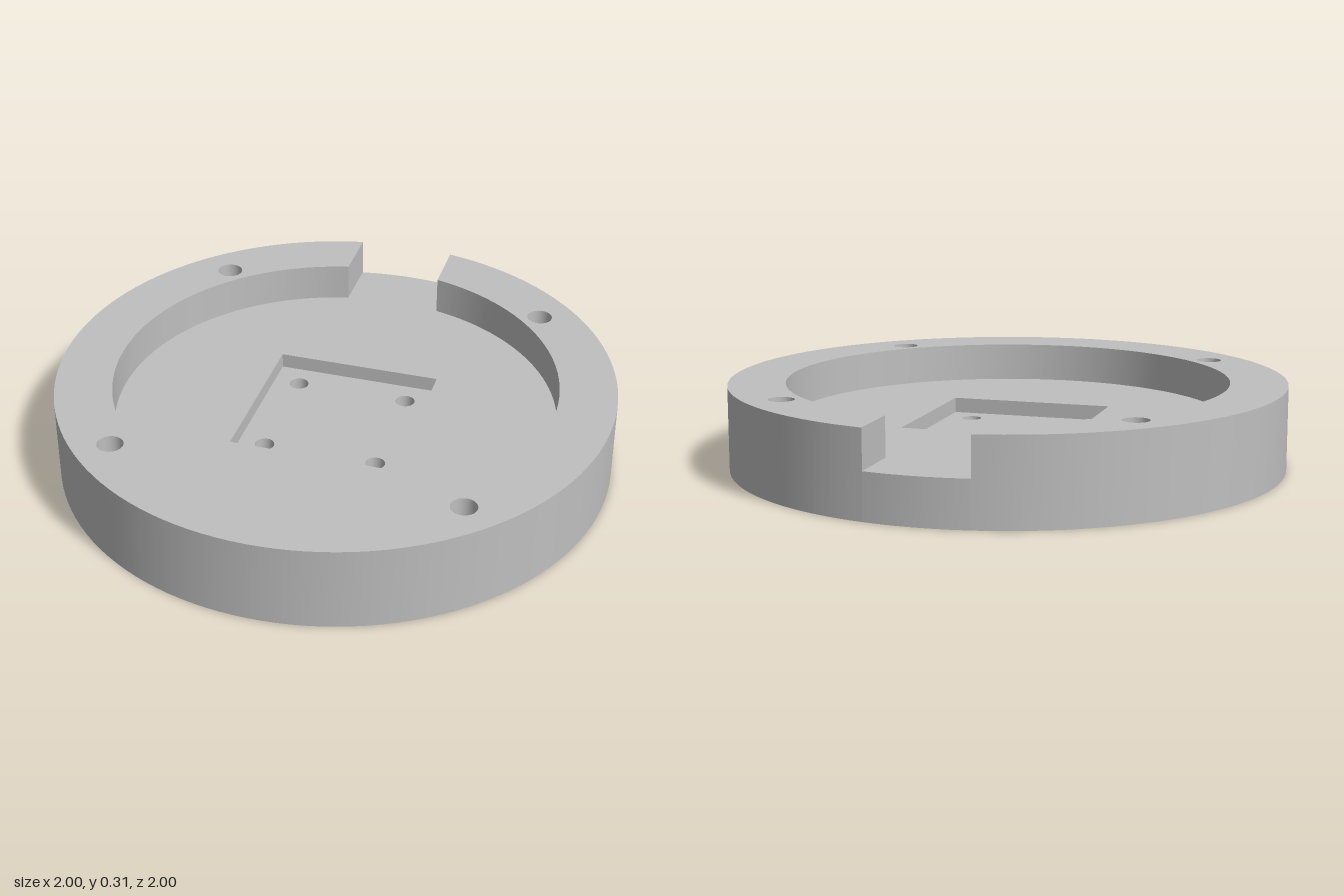
import * as THREE from 'three';

// Heights of the levels
const TOP = 0.305, FLOOR = 0.165, POCKET = 0.11, BORE = 0.08;
// Plan sizes
const INNER = 0.795, NOTCH = 0.18, HALF = 0.3;
const SCREW = { at: 0.615, r: 0.046, boreR: 0.082 };
const PIN = { at: 0.205, r: 0.035, bottom: 0.06 };
const CENTRE = { r: 0.103, top: 0.09 };

// Plan points (x right, y to the back), anticlockwise
function arc(r, from, to, n, cx = 0, cy = 0) {
  return Array.from({ length: n + 1 }, (_, i) => {
    const a = from + ((to - from) * i) / n;
    return new THREE.Vector2(cx + r * Math.cos(a), cy + r * Math.sin(a));
  });
}
const circle = (r, cx = 0, cy = 0, n = 40) => arc(r, 0, Math.PI * 2, n, cx, cy);
const reversed = (pts) => [...pts].reverse();
const corners = (d) => [[d, d], [-d, d], [-d, -d], [d, -d]];

// Upright wall along plan points, facing right of the travel direction
function wallGeometry(pts, y0, y1, sharp = false) {
  const pos = [], index = [];
  pts.forEach((p, i) => {
    pos.push(p.x, y0, -p.y, p.x, y1, -p.y);
    if (i) {
      const a = 2 * i - 2, b = 2 * i;
      index.push(a, b, b + 1, a, b + 1, a + 1);
    }
  });
  let g = new THREE.BufferGeometry();
  g.setAttribute('position', new THREE.Float32BufferAttribute(pos, 3));
  g.setIndex(index);
  if (sharp) g = g.toNonIndexed();
  g.computeVertexNormals();
  return g;
}

// Level face with holes, facing up or down
function faceGeometry(outline, holes, y, down = false) {
  const shape = new THREE.Shape(outline);
  shape.holes = holes.map((h) => new THREE.Path(h));
  const g = new THREE.ShapeGeometry(shape);
  g.rotateX(-Math.PI / 2).translate(0, y, 0);
  if (down) {
    g.setIndex(Array.from(g.index.array).reverse());
    g.computeVertexNormals();
  }
  return g;
}

export function createModel() {
  const grey = new THREE.MeshStandardMaterial({ color: 0xbfbfbf });
  grey.name = 'grey';
  const model = new THREE.Group();
  model.name = 'mountingBase';
  const add = (name, geometry) => {
    const mesh = new THREE.Mesh(geometry, grey);
    mesh.name = name;
    model.add(mesh);
  };

  // Outlines, open at the back for the notch
  const q = Math.PI / 2, a = Math.asin(NOTCH), b = Math.asin(NOTCH / INNER);
  const outer = arc(1, q + a, 5 * q - a, 120);
  const inner = arc(INNER, q + b, 5 * q - b, 120);
  const gap = arc(1, q - a, q + a, 8);
  const square = [...corners(HALF), [HALF, HALF]].map(([x, y]) => new THREE.Vector2(x, y));
  const screws = corners(SCREW.at).map(([x, y]) => circle(SCREW.r, x, y));
  const bores = corners(SCREW.at).map(([x, y]) => circle(SCREW.boreR, x, y));
  const pins = corners(PIN.at).map(([x, y]) => circle(PIN.r, x, y, 28));
  const centre = circle(CENTRE.r);

  // Raised rim and outside
  add('rimTop', faceGeometry([...outer, ...reversed(inner)], screws, TOP));
  add('outerWall', wallGeometry(outer, 0, TOP));
  add('outerWallBelowNotch', wallGeometry(gap, 0, FLOOR));
  add('rimInnerWall', wallGeometry(reversed(inner), FLOOR, TOP));
  add('notchLeftWall', wallGeometry([inner.at(-1), outer.at(-1)].reverse(), FLOOR, TOP));
  add('notchRightWall', wallGeometry([inner[0], outer[0]], FLOOR, TOP));

  // Recessed floor and square pocket
  add('recessFloor', faceGeometry([...inner, ...gap], [square.slice(0, 4)], FLOOR));
  add('pocketWalls', wallGeometry(reversed(square), POCKET, FLOOR, true));
  add('pocketFloor', faceGeometry(square.slice(0, 4), pins, POCKET));

  // Blind holes in the pocket
  pins.forEach((pin) => {
    add('pinHoleWall', wallGeometry(reversed(pin), PIN.bottom, POCKET));
    add('pinHoleFloor', faceGeometry(pin, [], PIN.bottom));
  });

  // Underside with its centre hole
  add('underside', faceGeometry([...outer, ...gap], [...bores, centre], 0, true));
  add('centreHoleWall', wallGeometry(reversed(centre), 0, CENTRE.top));
  add('centreHoleCeiling', faceGeometry(centre, [], CENTRE.top, true));

  // Screw holes, widened from below
  screws.forEach((screw, i) => {
    add('screwHoleWall', wallGeometry(reversed(screw), BORE, TOP));
    add('counterboreWall', wallGeometry(reversed(bores[i]), 0, BORE));
    add('counterboreLedge', faceGeometry(bores[i], [screw], BORE, true));
  });
  return model;
}
